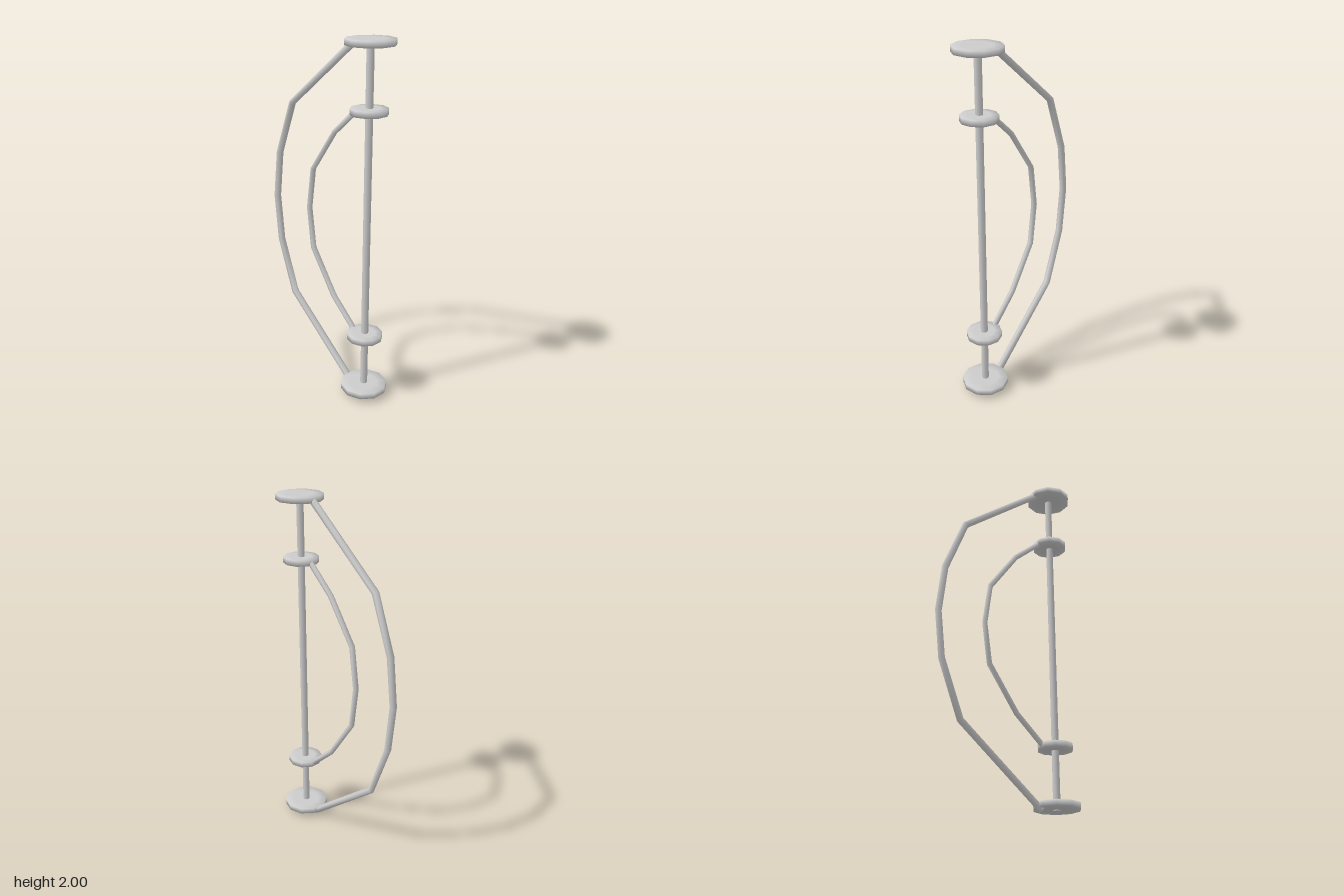
import * as THREE from 'three';

const material = new THREE.MeshStandardMaterial({ color: 0xcccccc });
const AXIS_Z = 0.323;

// Ten-sided disc with softly shaded rims
function disc(name, radius, bottom, top) {
  const profile = [[0, bottom], [radius * 0.6, bottom], [radius, bottom],
    [radius, top], [radius * 0.6, top], [0, top]].map(([r, y]) => new THREE.Vector2(r, y));
  const mesh = new THREE.Mesh(new THREE.LatheGeometry(profile, 10, Math.PI / 2), material);
  mesh.position.z = AXIS_Z;
  mesh.name = name;
  return mesh;
}

// Six-sided bar swept along a [z, y] polyline with mitred corners and capped ends
function bentBar(name, path, radius) {
  const sides = 6, positions = [], index = [];
  const pts = path.map(([z, y]) => new THREE.Vector2(z, y));
  const direction = i => pts[i + 1].clone().sub(pts[i]).normalize();
  const last = pts.length - 1;

  const addRing = i => {
    const before = direction(Math.max(i - 1, 0));
    const after = direction(Math.min(i, last - 1));
    const tangent = before.clone().add(after).normalize();
    const mitre = 1 / tangent.dot(after);
    for (let k = 0; k < sides; k++) {
      const a = (k / sides) * Math.PI * 2;
      const n = Math.cos(a) * radius * mitre;
      positions.push(Math.sin(a) * radius, pts[i].y + tangent.x * n, pts[i].x - tangent.y * n);
    }
  };

  for (let i = 0; i <= last; i++) addRing(i);
  for (let i = 0; i < last; i++) {
    for (let k = 0; k < sides; k++) {
      const a = i * sides + k, b = i * sides + (k + 1) % sides;
      index.push(a, a + sides, b, b, a + sides, b + sides);
    }
  }
  // End caps use their own vertices so their edges stay sharp
  for (const end of [0, last]) {
    const start = positions.length / 3;
    addRing(end);
    for (let k = 1; k < sides - 1; k++) {
      if (end === 0) index.push(start, start + k, start + k + 1);
      else index.push(start, start + k + 1, start + k);
    }
  }

  const geometry = new THREE.BufferGeometry();
  geometry.setAttribute('position', new THREE.Float32BufferAttribute(positions, 3));
  geometry.setIndex(index);
  geometry.computeVertexNormals();
  const mesh = new THREE.Mesh(geometry, material);
  mesh.name = name;
  return mesh;
}

export function createModel() {
  const group = new THREE.Group();

  // Upright rod
  const rod = new THREE.Mesh(new THREE.CylinderGeometry(0.02, 0.02, 1.97, 8), material);
  rod.position.set(0, 1.005, AXIS_Z);
  rod.name = 'uprightRod';
  group.add(rod);

  // End discs and inner discs
  group.add(
    disc('topDisc', 0.131, 1.968, 2),
    disc('upperInnerDisc', 0.1, 1.623, 1.656),
    disc('lowerInnerDisc', 0.1, 0.347, 0.38),
    disc('bottomDisc', 0.131, 0.025, 0.058)
  );

  // Bowed bars joining the discs
  group.add(
    bentBar('outerBow', [[0.222, 0.016], [-0.277, 0.418], [-0.398, 0.732], [-0.429, 1.003],
      [-0.398, 1.278], [-0.277, 1.592], [0.222, 1.984]], 0.02),
    bentBar('innerBow', [[0.243, 0.36], [0.07, 0.515], [-0.105, 0.765], [-0.138, 1.003],
      [-0.105, 1.243], [0.07, 1.487], [0.243, 1.638]], 0.016)
  );
  return group;
}
